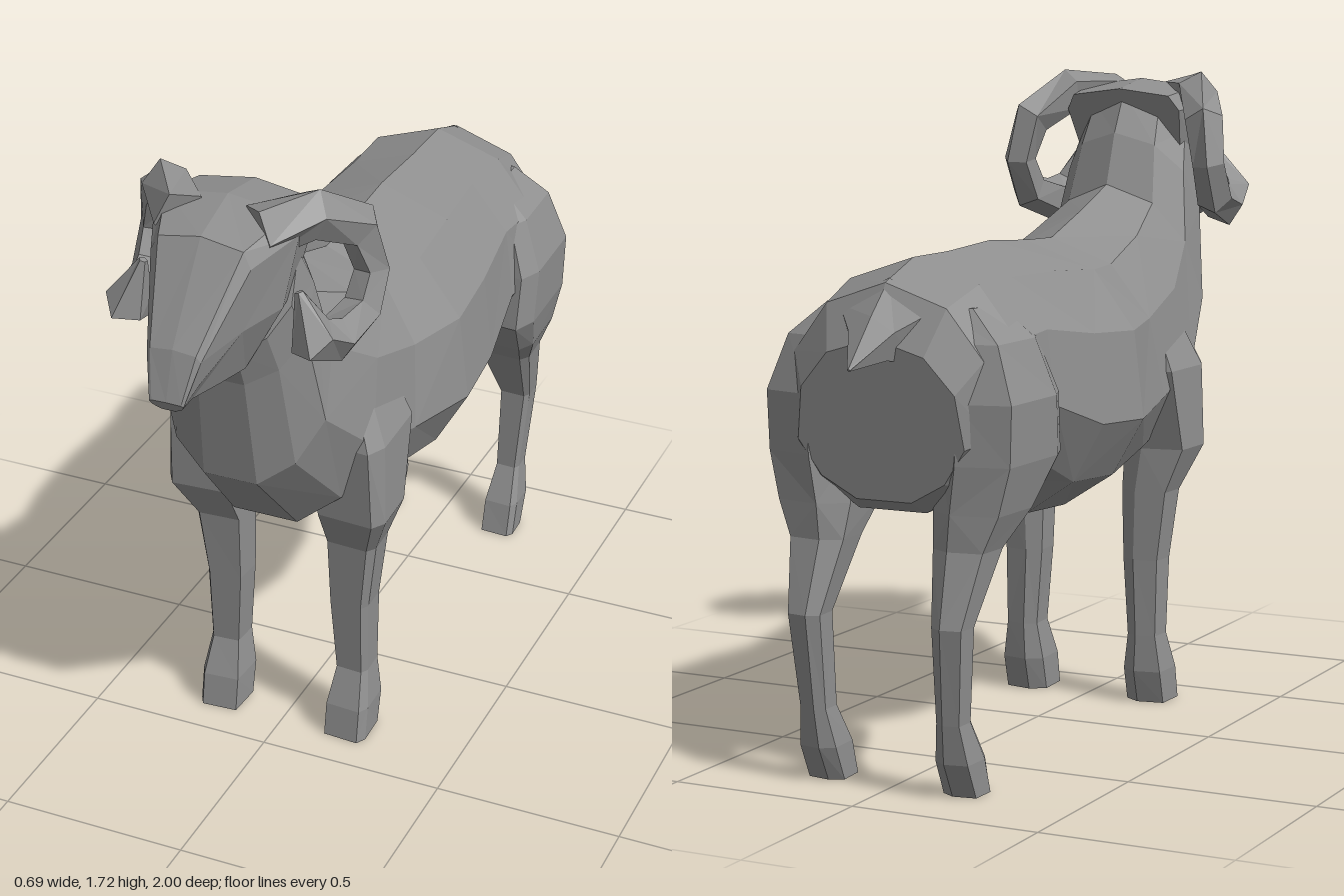
import * as THREE from 'three';

const V = (x, y, z) => new THREE.Vector3(x, y, z);
const coat = new THREE.MeshStandardMaterial({ color: 0x8f8f8f, flatShading: true });
coat.name = 'grey coat';

// Skin a list of equal-sized rings, cap both ends, and turn all faces outward
function loft(name, rings) {
  const tris = [], n = rings[0].length;
  for (let i = 0; i < rings.length - 1; i++) {
    for (let j = 0; j < n; j++) {
      const k = (j + 1) % n;
      const a = rings[i][j], b = rings[i][k], c = rings[i + 1][k], d = rings[i + 1][j];
      if ((i + j) % 2) tris.push([a, b, c], [a, c, d]);
      else tris.push([a, b, d], [b, c, d]);
    }
  }
  const first = rings[0], last = rings[rings.length - 1];
  for (let j = 1; j < n - 1; j++) {
    tris.push([first[0], first[j + 1], first[j]], [last[0], last[j], last[j + 1]]);
  }
  let volume = 0;
  for (const [a, b, c] of tris) volume += a.dot(b.clone().cross(c));
  const points = tris.flatMap(([a, b, c]) => (volume < 0 ? [a, c, b] : [a, b, c]));
  const geometry = new THREE.BufferGeometry().setFromPoints(points);
  geometry.computeVertexNormals();
  const mesh = new THREE.Mesh(geometry, coat);
  mesh.name = name;
  return mesh;
}

// Symmetric ring between a top and a bottom point; outline = [fraction down, share of half width]
function section([topZ, topY, botZ, botY, w], outline) {
  const at = (t, x) => V(x, topY + (botY - topY) * t, topZ + (botZ - topZ) * t);
  const left = outline.map(([t, f]) => at(t, f * w));
  const right = outline.filter(([, f]) => f > 0).reverse().map(([t, f]) => at(t, -f * w));
  return [...left, ...right];
}

// Leg from horizontal six-sided rings: [y, centre x, half x, centre z, half z]
function leg(name, side, rows) {
  return loft(name, rows.map(([y, cx, hx, cz, hz]) =>
    [[0.95, 0.6], [0.7, 1], [-0.9, 0.9], [-1, -0.6], [-0.3, -1], [0.9, -0.8]]
      .map(([px, pz]) => V(side * (cx + px * hx), y, cz + pz * hz))));
}

// Curled horn: five-sided rings across a path of [x, y, z, radius]
function horn(name, side, path) {
  const pts = path.map(([x, y, z]) => V(x * side, y, z));
  return loft(name, path.map(([, , , r], i) => {
    const tangent = pts[Math.min(i + 1, pts.length - 1)].clone().sub(pts[Math.max(i - 1, 0)]).normalize();
    const u = V(side, 0, 0).addScaledVector(tangent, -tangent.x * side).normalize();
    const v = tangent.clone().cross(u);
    return Array.from({ length: 5 }, (_, k) => {
      const a = (k / 5) * Math.PI * 2;
      return pts[i].clone().addScaledVector(u, Math.cos(a) * r * 0.9).addScaledVector(v, Math.sin(a) * r);
    });
  }));
}

export function createModel() {
  const model = new THREE.Group();
  model.name = 'ram';

  // Body and neck in one skin, rump to throat: [top z, top y, bottom z, bottom y, half width]
  const bodyOutline = [[0, 0], [0.1, 0.58], [0.32, 0.92], [0.65, 1], [0.87, 0.74], [1, 0.33]];
  model.add(loft('body', [
    [-0.88, 1.12, -0.835, 0.72, 0.23],
    [-0.82, 1.25, -0.79, 0.69, 0.285],
    [-0.68, 1.30, -0.67, 0.70, 0.31],
    [-0.50, 1.30, -0.50, 0.73, 0.30],
    [-0.28, 1.31, -0.28, 0.61, 0.325],
    [-0.07, 1.295, -0.07, 0.60, 0.34],
    [0.08, 1.29, 0.22, 0.64, 0.29],
    [0.26, 1.35, 0.47, 0.70, 0.27],
    [0.42, 1.41, 0.67, 0.92, 0.22],
    [0.47, 1.55, 0.71, 1.22, 0.19],
    [0.53, 1.66, 0.74, 1.32, 0.17],
  ].map(r => section(r, bodyOutline))));

  // Wedge head: broad crown, narrow muzzle with a ridge down the middle
  const headOutline = [[0, 0], [0.05, 0.85], [0.16, 1], [0.6, 0.85], [1, 0.4]];
  model.add(loft('head', [
    [0.50, 1.67, 0.66, 1.30, 0.17],
    [0.65, 1.695, 0.73, 1.28, 0.19],
    [0.80, 1.65, 0.82, 1.28, 0.13],
    [0.96, 1.43, 0.92, 1.285, 0.07],
    [1.00, 1.31, 0.99, 1.285, 0.045],
  ].map(r => section(r, headOutline))));

  // Short pointed tail spreading into the rump
  const tailOutline = [[0, 0], [0.35, 0.9], [1, 0.6]];
  model.add(loft('tail', [
    [-0.80, 1.26, -0.82, 1.06, 0.15],
    [-0.89, 1.175, -0.89, 1.07, 0.07],
    [-1.00, 1.06, -0.995, 1.055, 0.005],
  ].map(r => section(r, tailOutline))));

  // Paired legs and horns
  for (const [side, word] of [[1, 'left'], [-1, 'right']]) {
    model.add(leg(word + 'FrontLeg', side, [
      [0, 0.185, 0.06, 0.34, 0.065],
      [0.09, 0.185, 0.06, 0.32, 0.07],
      [0.19, 0.185, 0.045, 0.30, 0.05],
      [0.40, 0.18, 0.055, 0.305, 0.055],
      [0.59, 0.19, 0.07, 0.31, 0.062],
      [0.71, 0.215, 0.095, 0.345, 0.095],
      [0.93, 0.205, 0.10, 0.315, 0.135],
      [1.10, 0.16, 0.07, 0.30, 0.09],
    ]));
    model.add(leg(word + 'HindLeg', side, [
      [0, 0.19, 0.05, -0.765, 0.05],
      [0.09, 0.19, 0.05, -0.80, 0.06],
      [0.19, 0.19, 0.035, -0.835, 0.04],
      [0.43, 0.20, 0.045, -0.855, 0.045],
      [0.61, 0.20, 0.075, -0.775, 0.07],
      [0.70, 0.215, 0.10, -0.725, 0.12],
      [0.82, 0.235, 0.11, -0.675, 0.175],
      [0.97, 0.24, 0.11, -0.685, 0.165],
      [1.11, 0.20, 0.10, -0.685, 0.135],
      [1.19, 0.13, 0.08, -0.68, 0.09],
    ]));
    model.add(horn(word + 'Horn', side, [
      [0.10, 1.635, 0.70, 0.075],
      [0.195, 1.655, 0.59, 0.065],
      [0.265, 1.585, 0.48, 0.06],
      [0.29, 1.47, 0.46, 0.05],
      [0.285, 1.38, 0.51, 0.055],
      [0.265, 1.35, 0.62, 0.06],
      [0.245, 1.385, 0.71, 0.065],
      [0.205, 1.50, 0.70, 0.012],
    ]));
  }
  return model;
}
